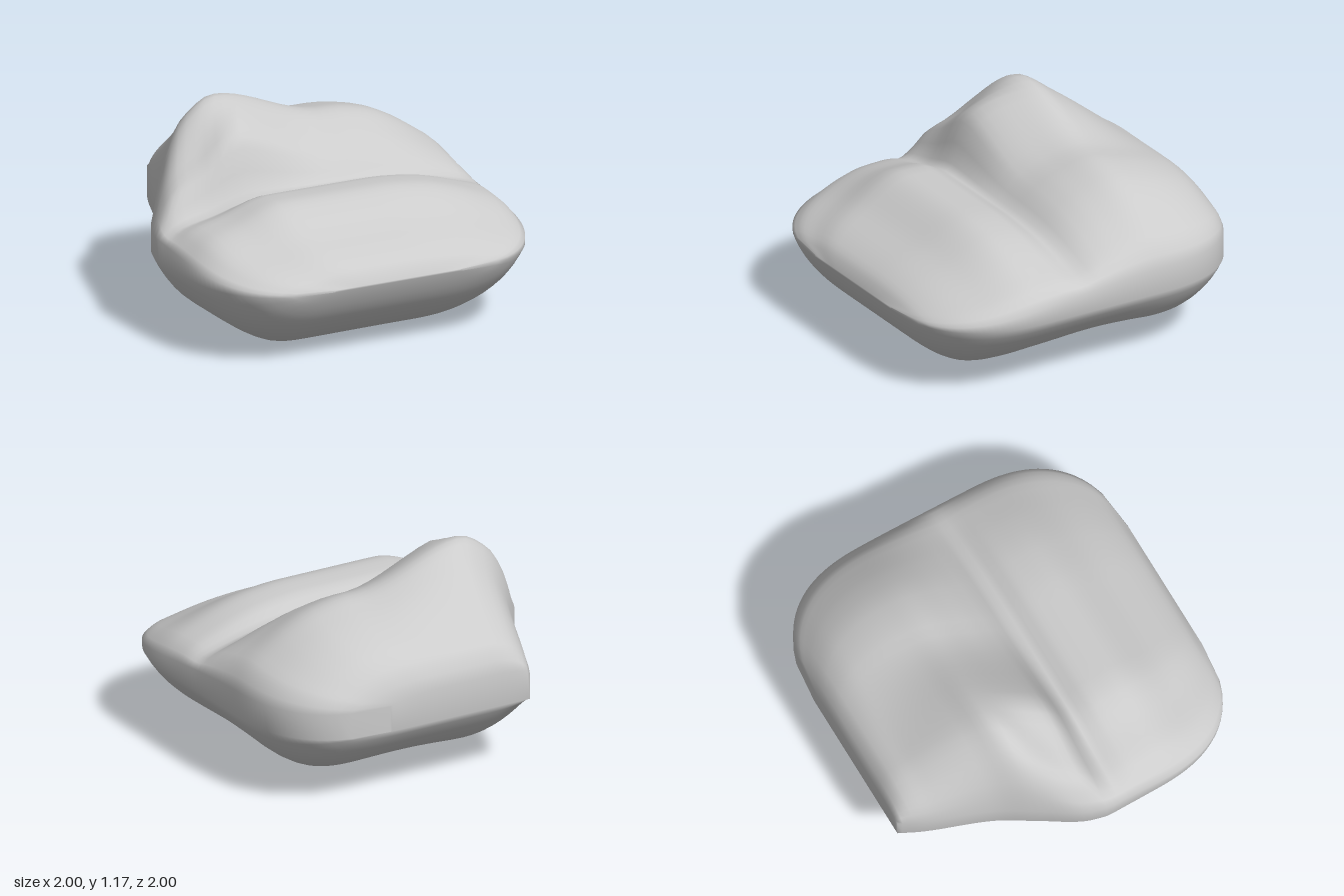
import * as THREE from 'three';

const { lerp, smoothstep } = THREE.MathUtils;

// Smooth curve through [position, value] points that never overshoots them
function spline(points) {
  const n = points.length;
  const slope = (i) => (points[i + 1][1] - points[i][1]) / (points[i + 1][0] - points[i][0]);
  const tangent = points.map((_, i) => {
    if (i === 0) return slope(0);
    if (i === n - 1) return slope(n - 2);
    const a = slope(i - 1), b = slope(i);
    return a * b <= 0 ? 0 : (2 * a * b) / (a + b);
  });
  return (x) => {
    let i = 0;
    while (i < n - 2 && x > points[i + 1][0]) i++;
    const [xa, ya] = points[i], [xb, yb] = points[i + 1];
    const h = xb - xa, t = (x - xa) / h, s = 1 - t;
    return s * s * ((1 + 2 * t) * ya + t * h * tangent[i])
      + t * t * ((3 - 2 * t) * yb - s * h * tangent[i + 1]);
  };
}

// Outline: rounded corners, with the back right corner cut away
const halfWidth = (z) => {
  const s = Math.max(0, (Math.abs(z) - 0.35) / 0.65);
  return 0.4 + 0.6 * Math.max(0, 1 - s ** 2.5) ** 0.4;
};
const cutCorner = spline([[-1, -0.5], [-0.88, -0.56], [-0.5, -0.71], [-0.3, -0.83], [-0.06, -0.97], [0.05, -1]]);
const rightEdge = (z) => (z < 0.05 ? cutCorner(z) : -halfWidth(z));

// Top: two lengthwise profiles over the backrest, meeting in one seat profile
const seat = [[0.11, 0.71], [0.25, 0.775], [0.4, 0.785], [0.7, 0.65], [0.96, 0.51], [1, 0.44]];
const rightCrest = spline([[-1, 0.62], [-0.95, 0.74], [-0.8, 0.86], [-0.5, 1.09], [-0.36, 1.175],
  [-0.2, 1.14], [-0.02, 1.03], [0.05, 0.84], ...seat]);
const leftCrest = spline([[-1, 0.62], [-0.95, 0.74], [-0.8, 0.86], [-0.5, 0.96], [-0.36, 0.985],
  [-0.15, 0.91], [0, 0.81], ...seat]);
const sideTop = spline([[-1, 0.58], [-0.4, 0.58], [0.2, 0.54], [1, 0.44]]);

// Fall of the top towards the sides: steep beside the peak, gentle elsewhere
const leftFall = [[0.2, 1], [0.45, 0.91], [0.62, 0.75], [0.8, 0.5], [0.93, 0.28], [1, 0]];
const peakShoulder = spline([[-1, 0], [-0.95, 0.42], [-0.8, 0.83], [-0.6, 1], ...leftFall]);
const seatShoulder = spline([[-1, 0], [-0.88, 0.42], [-0.7, 0.65], [-0.42, 1], ...leftFall]);
function topHeight(u, z) {
  const crest = lerp(rightCrest(z), leftCrest(z), smoothstep(u, -0.6, 0.15));
  const shoulder = lerp(peakShoulder(u), seatShoulder(u), smoothstep(z, -0.35, -0.05));
  return lerp(sideTop(z), crest, shoulder);
}

// Underside: curves up to the rim all round, with a broad hollow towards the back left
const RIM = 0.43;
function upturn(d, start) {
  const s = Math.max(0, (Math.abs(d) - start) / (1 - start));
  return 0.8 * s ** 2 + 0.2 * s ** 8;
}
function underside(u, x, z) {
  const a = upturn(u, u < 0 ? 0.35 : 0.2) ** 2;
  const b = upturn(z, z > 0 ? 0.4 : 0.2) ** 2;
  const rise = Math.sqrt(a + b - a * b);
  const hollow = 0.27 * Math.exp(-((x - 0.22) ** 2 + (z + 0.17) ** 2) / 0.17);
  return RIM * rise + hollow * (1 - rise);
}

function cushionGeometry() {
  const N = 32, SLICES = 56, RING = 2 * N;
  const positions = [], index = [];
  const eased = (t, amount) => lerp(t, Math.sin((t * Math.PI) / 2), amount);

  // One closed ring per slice: across the top, then back along the underside
  for (let k = 0; k <= SLICES; k++) {
    const z = eased((2 * k) / SLICES - 1, 0.3);
    const x0 = rightEdge(z), x1 = halfWidth(z);
    for (let j = 0; j < RING; j++) {
      const across = (j < N ? j : RING - 1 - j) / (N - 1);
      const u = eased(2 * across - 1, 0.5);
      const x = lerp(x0, x1, (u + 1) / 2);
      positions.push(x, j < N ? topHeight(u, z) : underside(u, x, z), z);
    }
  }
  for (let k = 0; k < SLICES; k++) {
    for (let j = 0; j < RING; j++) {
      const a = k * RING + j, b = k * RING + ((j + 1) % RING);
      index.push(a, a + RING, b, b, a + RING, b + RING);
    }
  }
  // Close the narrow faces at the back and front
  const last = SLICES * RING;
  for (let j = 0; j < N - 1; j++) {
    const lower = RING - 1 - j;
    index.push(j, j + 1, lower, j + 1, lower - 1, lower);
    index.push(last + j, last + lower, last + j + 1);
    index.push(last + j + 1, last + lower, last + lower - 1);
  }
  const geometry = new THREE.BufferGeometry();
  geometry.setAttribute('position', new THREE.Float32BufferAttribute(positions, 3));
  geometry.setIndex(index);
  geometry.computeVertexNormals();
  return geometry;
}

export function createModel() {
  const group = new THREE.Group();
  group.name = 'softSeat';
  const body = new THREE.Mesh(cushionGeometry(), new THREE.MeshStandardMaterial({ color: 0xcccccc }));
  body.name = 'cushionBody';
  group.add(body);
  return group;
}
